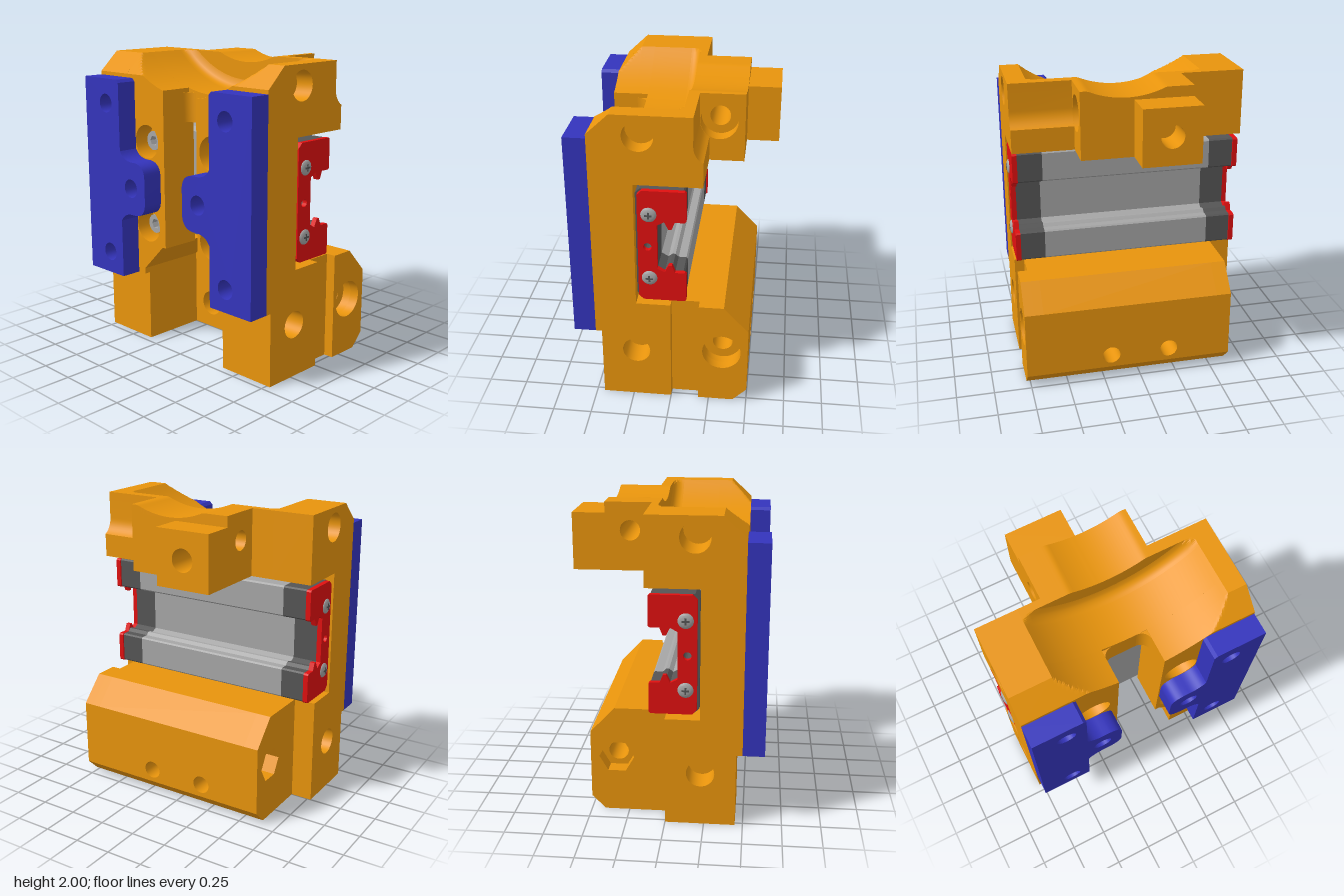
import * as THREE from 'three';
import { toCreasedNormals } from 'three/addons/utils/BufferGeometryUtils.js';

const mat = (color) => new THREE.MeshStandardMaterial({ color });
const ORANGE = mat(0xe8940c), BLUE = mat(0x3434bc), RED = mat(0xe01010);
const GREY = mat(0xa6a6a6), DARK = mat(0x555555);

const rect = (a, b, c, d) => [[a, b], [c, b], [c, d], [a, d]];
const circle = (u, v, r, n = 32) => Array.from({ length: n }, (_, i) => {
  const a = i / n * Math.PI * 2;
  return [u + r * Math.cos(a), v + r * Math.sin(a)];
});
const vectors = pts => pts.map(([u, v]) => new THREE.Vector2(u, v));

// Extruded outline (counter-clockwise) with holes [u, v, radius, sides]
function prism(pts, holes, depth) {
  const edge = vectors(pts);
  if (THREE.ShapeUtils.isClockWise(edge)) edge.reverse();
  const shape = new THREE.Shape(edge);
  for (const h of holes) shape.holes.push(new THREE.Path(vectors(circle(...h)).reverse()));
  return new THREE.ExtrudeGeometry(shape, { depth, bevelEnabled: false });
}

// Prisms along each axis; alongX takes (z, y) outlines, alongY takes (x, z)
const alongZ = (pts, holes, z0, z1) => prism(pts, holes, z1 - z0).translate(0, 0, z0);
const flipU = list => list.map(([u, ...r]) => [-u, ...r]);
const flipV = list => list.map(([u, v, ...r]) => [u, -v, ...r]);
const alongX = (pts, holes, x0, x1) =>
  prism(flipU(pts), flipU(holes), x1 - x0).rotateY(Math.PI / 2).translate(x0, 0, 0);
const alongY = (pts, holes, y0, y1) =>
  prism(flipV(pts), flipV(holes), y1 - y0).rotateX(-Math.PI / 2).translate(0, y0, 0);
const block = (x0, x1, y0, y1, z0, z1, sx = 1, sz = 1) =>
  new THREE.BoxGeometry(x1 - x0, y1 - y0, z1 - z0, sx, 1, sz)
    .translate((x0 + x1) / 2, (y0 + y1) / 2, (z0 + z1) / 2);

// Top surface of the upper block: front chamfer and a stepped round scoop
function topY(x, z, rear) {
  const t = Math.min(1, Math.max(0, -z / 0.07));
  const R = rear ? 0.61 : 0.73 + 0.07 * Math.sqrt(1 - t * t);
  const dx = x - 0.075;
  const scoop = Math.abs(dx) < R ? 2.557 - Math.sqrt(R * R - dx * dx) : 2;
  return Math.min(2, 2 - (z - 0.35) * 0.93, scoop);
}
function scooped(x0, x1, y0, z0, z1, sz, rear = false) {
  const g = block(x0, x1, y0, 2, z0, z1, 40, sz), p = g.attributes.position;
  for (let i = 0; i < p.count; i++)
    if (p.getY(i) > 1.99) p.setY(i, topY(p.getX(i), p.getZ(i), rear));
  return g;
}

export function createModel() {
  const model = new THREE.Group();
  const group = (name) => {
    const g = new THREE.Group();
    g.name = name;
    model.add(g);
    return g;
  };
  const add = (parent, name, geo, m) => {
    const mesh = new THREE.Mesh(toCreasedNormals(geo, 0.5), m);
    mesh.name = name;
    parent.add(mesh);
  };

  // Upper block with the scoop
  const upper = group('upperBlock');
  const up = (name, geo) => add(upper, name, geo, ORANGE);
  up('scoopStep', scooped(-0.5, 0.65, 1.56, -0.07, 0, 8));
  up('scoopFloor', scooped(-0.5, 0.65, 1.56, 0, 0.26, 1));
  for (const [x0, x1] of [[-0.5, -0.14], [0.17, 0.65]]) {
    up('scoopCheek', scooped(x0, x1, 1.56, 0.26, 0.35, 1));
    up('scoopCheekChamfer', scooped(x0, x1, 1.56, 0.35, 0.49, 8));
  }
  up('rearScoop', scooped(-0.35, 0.37, 1.94, -0.42, -0.07, 1, true));
  const rearSide = rect(-0.42, 1.56, -0.07, 1.94);
  up('rearBlock', alongX(rearSide, [[-0.26, 1.82, 0.065]], -0.35, 0.27));
  up('rearCounterbore', alongX(rearSide, [[-0.26, 1.82, 0.118]], 0.27, 0.37));
  up('rearLug', alongZ(rect(-0.35, 1.56, 0.03, 1.93), [[-0.16, 1.745, 0.075]], -0.63, -0.42));
  up('leftFill', block(-0.5, -0.35, 1.56, 2, -0.12, -0.07));

  // Chamfered shoulders with a blind side hole
  const shoulder = back => [[back, 1.56], [0.49, 1.56], [0.49, 1.87], [0.35, 2], [back, 2]];
  up('rightShoulder', alongX(shoulder(-0.12), [[0.185, 1.87, 0.095]], -0.775, -0.5));
  up('leftShoulder', alongX(shoulder(-0.07), [[0.185, 1.87, 0.095]], 0.65, 0.775));
  const trough = [[-0.07, 1.56], [-0.07, 2], [-0.14, 2]];
  for (let i = 0; i <= 8; i++) {
    const a = -i / 8 * Math.PI / 3;
    trough.push([-0.26 + 0.12 * Math.cos(a), 1.82 + 0.12 * Math.sin(a)]);
  }
  trough.push([-0.2, 1.56]);
  up('troughShoulder', alongX(trough, [], 0.37, 0.775));

  // Rounded inner corners of the slot
  for (const [x, s] of [[-0.14, 1], [0.17, -1]]) {
    const pts = [[x, 0.26]];
    for (let i = 0; i <= 8; i++) {
      const a = i / 8 * Math.PI / 2;
      pts.push([x + s * 0.07 * (1 - Math.sin(a)), 0.26 + 0.07 * (1 - Math.cos(a))]);
    }
    up('slotFillet', alongY(pts, [], 1.56, 1.757));
  }

  // Front webs, legs, blue pads and screws on both sides
  for (const s of [-1, 1]) {
    const side = group(s > 0 ? 'leftSide' : 'rightSide');
    const inner = s > 0 ? 0.17 : 0.14;
    const mx = pts => pts.map(([x, ...r]) => [s * x, ...r]);
    const span = (a, b) => [Math.min(s * a, s * b), Math.max(s * a, s * b)];

    const web = mx(rect(inner, 0.72, 0.775, 1.56));
    const screws = mx([[0.31, 0.85, 0.114], [0.31, 1.43, 0.114]]);
    add(side, 'webBack', alongZ(web, [], 0.22, 0.36), ORANGE);
    add(side, 'webFront', alongZ(web, screws, 0.36, 0.49), ORANGE);
    for (const [x, y] of screws)
      add(side, 'capScrew', alongZ(circle(x, y, 0.065), [[x, y, 0.035, 6]], 0.36, 0.43), GREY);

    const haunch = [[0.775, 0.49], [0.775, 0.72], [inner + 0.03, 0.72], [0.36, 0.53], [0.36, 0.49]];
    add(side, 'haunch', alongZ(mx(haunch), [], 0, 0.49), ORANGE);
    const legSide = rect(0, 0.2, 0.45, 0.49);
    add(side, 'leg', alongX(legSide, [], ...span(0.36, 0.6)), ORANGE);
    add(side, 'legSide', alongX(legSide, [[0.225, 0.355, 0.09]], ...span(0.6, 0.775)), ORANGE);
    add(side, 'foot', alongY(mx(rect(0.36, 0, 0.775, 0.45)), [[s * 0.57, 0.22, 0.085]], 0, 0.2), ORANGE);

    // Pad with a rounded tab reaching inwards
    const pad = new THREE.Shape();
    pad.moveTo(0.775, 0.49);
    pad.lineTo(0.775, 1.845);
    pad.lineTo(0.445, 1.845);
    pad.lineTo(0.425, 1.825);
    pad.lineTo(0.425, 1.37);
    pad.quadraticCurveTo(0.39, 1.31, 0.31, 1.31);
    pad.lineTo(0.27, 1.31);
    pad.quadraticCurveTo(0.18, 1.3, 0.18, 1.21);
    pad.lineTo(0.18, 1.05);
    pad.quadraticCurveTo(0.18, 0.96, 0.27, 0.95);
    pad.lineTo(0.31, 0.95);
    pad.quadraticCurveTo(0.39, 0.95, 0.425, 0.89);
    pad.lineTo(0.425, 0.49);
    const padEdge = mx(pad.getPoints(10).map(p => p.toArray()));
    const padHoles = mx([[0.56, 0.64, 0.063], [0.56, 1.68, 0.063], [0.32, 1.13, 0.063]]);
    add(side, 'pad', alongZ(padEdge, padHoles, 0.49, 0.63), BLUE);
  }

  // Rear cross bar: bored lengthwise, with two cross holes near the bottom
  const bar = group('crossBar');
  const bars = (name, geo) => add(bar, name, geo, ORANGE);
  const barTop = [[0, 0.27], [0, 0.72], [-0.34, 0.72], [-0.5, 0.55], [-0.5, 0.25], [-0.15, 0.25], [-0.15, 0.27]];
  const endTop = [[-0.18, 0.25], [-0.18, 0.72], ...barTop.slice(2, 5)];
  const barFoot = z => [[z, 0], [z, 0.09], [-0.5, 0.09], [-0.41, 0]];
  const bore = (r, n) => [[-0.33, 0.38, r, n]];
  bars('barNutPocket', alongX(barTop, bore(0.115, 6), -0.63, -0.53));
  bars('barTop', alongX(barTop, bore(0.065), -0.53, 0.65));
  bars('barInnerEnd', alongX(barTop, bore(0.125), 0.65, 0.71));
  bars('barEnd', alongX(endTop, bore(0.125), 0.71, 0.775));
  bars('barFoot', alongX(barFoot(0), [], -0.63, 0.71));
  bars('barFootEnd', alongX(barFoot(-0.18), [], 0.71, 0.775));
  bars('barLowEnd', block(0.71, 0.775, 0.09, 0.25, -0.5, -0.18));
  const cross = r => [[-0.2, 0.18, r], [0.2, 0.18, r]];
  bars('barLowFront', alongZ(rect(-0.63, 0.09, 0.71, 0.27), cross(0.087), -0.15, 0));
  bars('barLowBack', alongZ(rect(-0.63, 0.09, 0.71, 0.25), cross(0.06), -0.5, -0.15));

  // Sliding carriage: C-shaped section with lips, capped at both ends
  const carriage = group('carriage');
  const section = (front, back, lip) => {
    const half = [[front, 0.785], [front - 0.03, 0.755], [back + 0.01, 0.755], [back, 0.765], [back, 0.95],
      [back + 0.01, 0.96], [-0.03, 0.96], [-0.01, lip], [0.01, lip], [0.035, 0.96], [0.08, 0.985]];
    return [...half, ...half.slice().reverse().map(([z, y]) => [z, 2.275 - y])];
  };
  const port = [[0.14, 1.137, 0.026]];
  add(carriage, 'carriageBody', alongX(section(0.22, -0.09, 0.98), port, -0.57, 0.57), GREY);
  for (const s of [-1, 1]) {
    const span = (a, b) => [Math.min(s * a, s * b), Math.max(s * a, s * b)];
    add(carriage, 'endBlock', alongX(section(0.215, -0.09, 0.98), port, ...span(0.57, 0.735)), DARK);
    add(carriage, 'endCap', alongX(section(0.2, -0.1, 1.01), port, ...span(0.735, 0.768)), RED);
    for (const y of [0.915, 1.36]) {
      const head = new THREE.SphereGeometry(0.05, 24, 8, 0, Math.PI * 2, 0, Math.PI / 2);
      head.scale(1, 0.36, 1).rotateZ(-s * Math.PI / 2).translate(s * 0.766, y, 0.13);
      add(carriage, 'capScrew', head, GREY);
      for (const [h, d] of [[0.045, 0.012], [0.012, 0.045]])
        add(carriage, 'screwRecess', block(...span(0.766, 0.785), y - h / 2, y + h / 2, 0.13 - d / 2, 0.13 + d / 2), DARK);
    }
  }
  return model;
}
